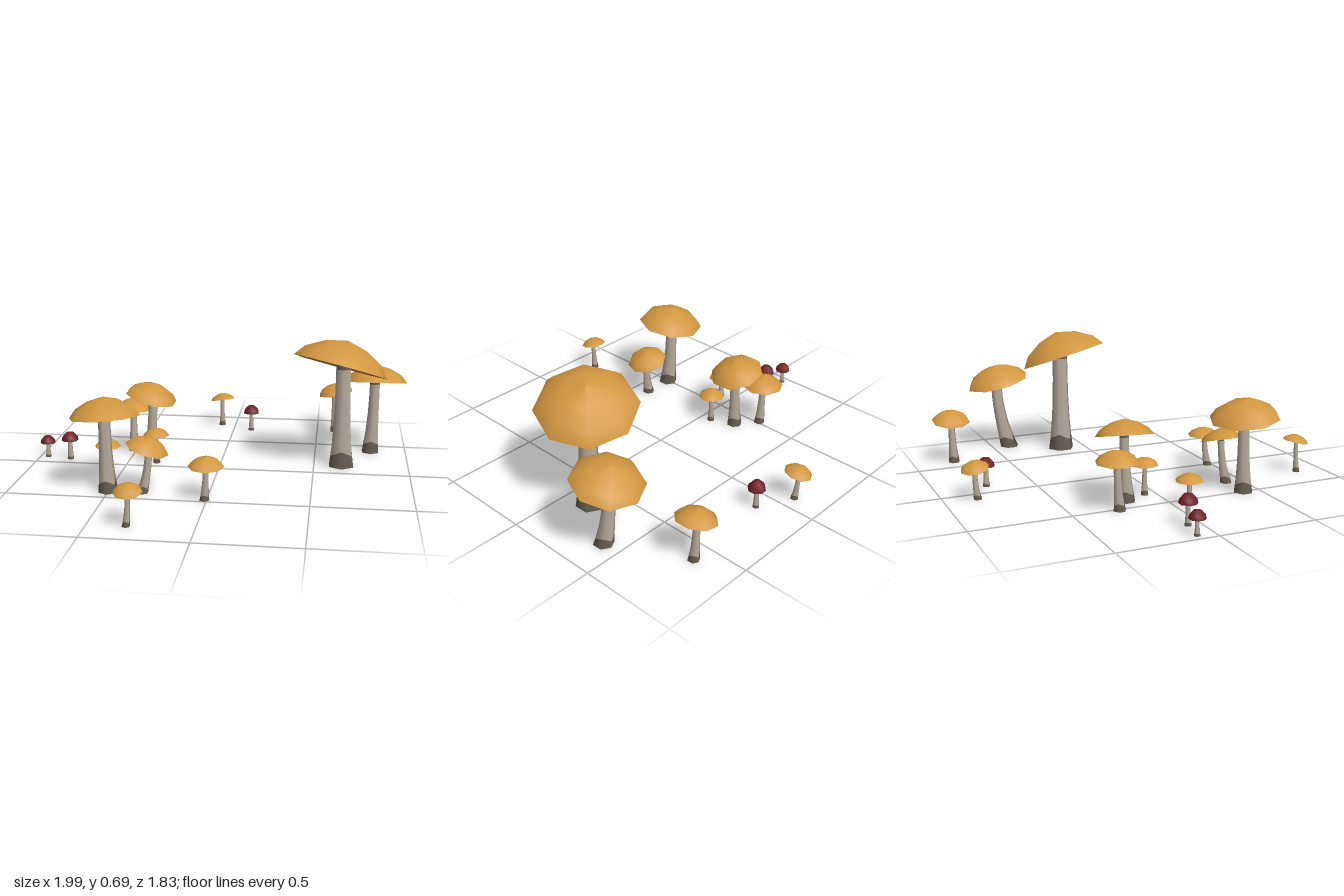
import * as THREE from 'three';
import { mergeGeometries } from 'three/addons/utils/BufferGeometryUtils.js';

const material = (name, color) => {
  const m = new THREE.MeshStandardMaterial({ color });
  m.name = name;
  return m;
};
const ochre = material('ochre cap', 0xd2973f);
const red = material('dark red cap', 0x702024);
const pale = material('pale stem', 0xbcb0a0);
const earthy = material('earthy stem', 0x6c6355);

// Two kinds: cap outline from rim to apex, and proportions relative to the cap radius
const OCHRE = {
  name: 'ochreMushroom', cap: ochre, outline: [[1, 0], [0.82, 0.42], [0.45, 0.8], [0, 1]],
  height: 0.56, foot: 0.29, neck: 0.175,
};
const RED = {
  name: 'redMushroom', cap: red, outline: [[1, 0], [0.9, 0.42], [0.5, 0.86], [0, 1]],
  height: 1.05, foot: 0.4, neck: 0.27,
};
const EDGE_ON = Math.PI / 8; // turns a flat side of the cap to the front

const JAG = 0.13;     // height of the ragged earth line on the stem
const COLLAR = 0.9;   // start of the dark band under the cap

// Eight-sided cap with a shallow hollow underside
function capGeometry(outline, r, h) {
  const lathe = (pts) => new THREE.LatheGeometry(pts.map(([x, y]) => new THREE.Vector2(x, y)), 8);
  return mergeGeometries([
    lathe(outline.map(([x, y]) => [x * r, y * h])),
    lathe([[0, 0.16 * r], [0.4 * r, 0.13 * r], [r, 0]]),
  ]);
}

// Part of a six-sided stem between fractions t0 and t1, flared and bent near the base
function stemGeometry(t0, t1, base, top, r0, r1) {
  const geo = new THREE.CylinderGeometry(1, 1, 1, 6, t0 === JAG ? 4 : 2);
  const p = geo.attributes.position;
  for (let i = 0; i < p.count; i++) {
    const x = p.getX(i), z = p.getZ(i);
    let t = t0 + (p.getY(i) + 0.5) * (t1 - t0);
    if (Math.abs(t - JAG) < 1e-4) t += 0.025 * Math.cos(3 * Math.atan2(x, z)) * Math.hypot(x, z);
    const rest = Math.max(0, 1 - t);
    const r = r1 + (r0 - r1) * rest ** 3;
    const bend = 1 - rest ** 2;
    p.setXYZ(i,
      base.x + (top.x - base.x) * bend + x * r,
      top.y * t,
      base.z + (top.z - base.z) * bend + z * r);
  }
  return geo;
}

// x, y, z and r give the cap rim; tilt is the cap's lean and lean the offset of the stem base
function mushroom(kind, x, y, z, r, { tilt = [0, 0], lean = [0, 0], turn = 0.08 } = {}) {
  const group = new THREE.Group();
  group.name = kind.name;
  const add = (name, geo, mat) => {
    const mesh = new THREE.Mesh(geo, mat);
    mesh.name = name;
    group.add(mesh);
    return mesh;
  };

  const h = kind.height * r;
  const up = new THREE.Vector3(tilt[0], 1, tilt[1]).normalize();
  const cap = add('cap', capGeometry(kind.outline, r, h).rotateY(turn), kind.cap);
  cap.position.set(x, y, z);
  cap.quaternion.setFromUnitVectors(new THREE.Vector3(0, 1, 0), up);

  // The stem ends just inside the cap
  const base = new THREE.Vector3(x + lean[0], 0, z + lean[1]);
  const top = new THREE.Vector3(x, y, z).addScaledVector(up, h * 0.5);
  top.y = y + 0.18 * r;
  const part = (t0, t1) => stemGeometry(t0, t1, base, top, kind.foot * r, kind.neck * r);
  add('stemFoot', part(0, JAG), earthy);
  add('stemShaft', part(JAG, COLLAR), pale);
  add('stemCollar', part(COLLAR, 1), earthy);
  return group;
}

export function createModel() {
  const model = new THREE.Group();
  model.name = 'mushroomPatch';
  model.add(
    // Tall pair and its small neighbour
    mushroom(OCHRE, 0.625, 0.545, -0.12, 0.253, { tilt: [0.25, -0.25], lean: [0.02, -0.017] }),
    mushroom(OCHRE, 0.82, 0.385, -0.455, 0.178, { tilt: [0, -0.23], lean: [-0.015, 0.055] }),
    mushroom(OCHRE, 0.605, 0.235, -0.79, 0.104, { tilt: [-0.2, 0], lean: [0, 0.01], turn: EDGE_ON }),
    // Lone one at the back
    mushroom(OCHRE, -0.08, 0.157, -0.845, 0.072, { tilt: [-0.15, -0.17], lean: [0, 0.01] }),
    // Middle cluster
    mushroom(OCHRE, -0.515, 0.238, -0.28, 0.108, { lean: [0, 0.012] }),
    mushroom(OCHRE, -0.395, 0.33, -0.19, 0.143, { tilt: [0.25, 0.05], lean: [-0.01, 0.01], turn: EDGE_ON }),
    mushroom(OCHRE, -0.345, 0.155, -0.06, 0.07),
    mushroom(OCHRE, -0.58, 0.123, 0.067, 0.07),
    // Front cluster
    mushroom(OCHRE, -0.51, 0.382, 0.405, 0.178, { tilt: [-0.08, -0.12], lean: [0.01, 0.008], turn: 0 }),
    mushroom(OCHRE, -0.305, 0.222, 0.395, 0.11, { tilt: [0.3, 0], lean: [-0.025, 0.015] }),
    mushroom(OCHRE, -0.305, 0.165, 0.845, 0.069, { tilt: [0, 0.22], lean: [-0.01, 0.005] }),
    mushroom(OCHRE, -0.005, 0.165, 0.455, 0.089, { tilt: [0, 0.06], lean: [-0.005, 0.02] }),
    // Little red ones
    mushroom(RED, 0.105, 0.107, -0.74, 0.046, { turn: EDGE_ON }),
    mushroom(RED, -0.957, 0.08, -0.09, 0.041, { turn: EDGE_ON }),
    mushroom(RED, -0.825, 0.107, -0.067, 0.046, { turn: EDGE_ON }),
  );
  return model;
}
